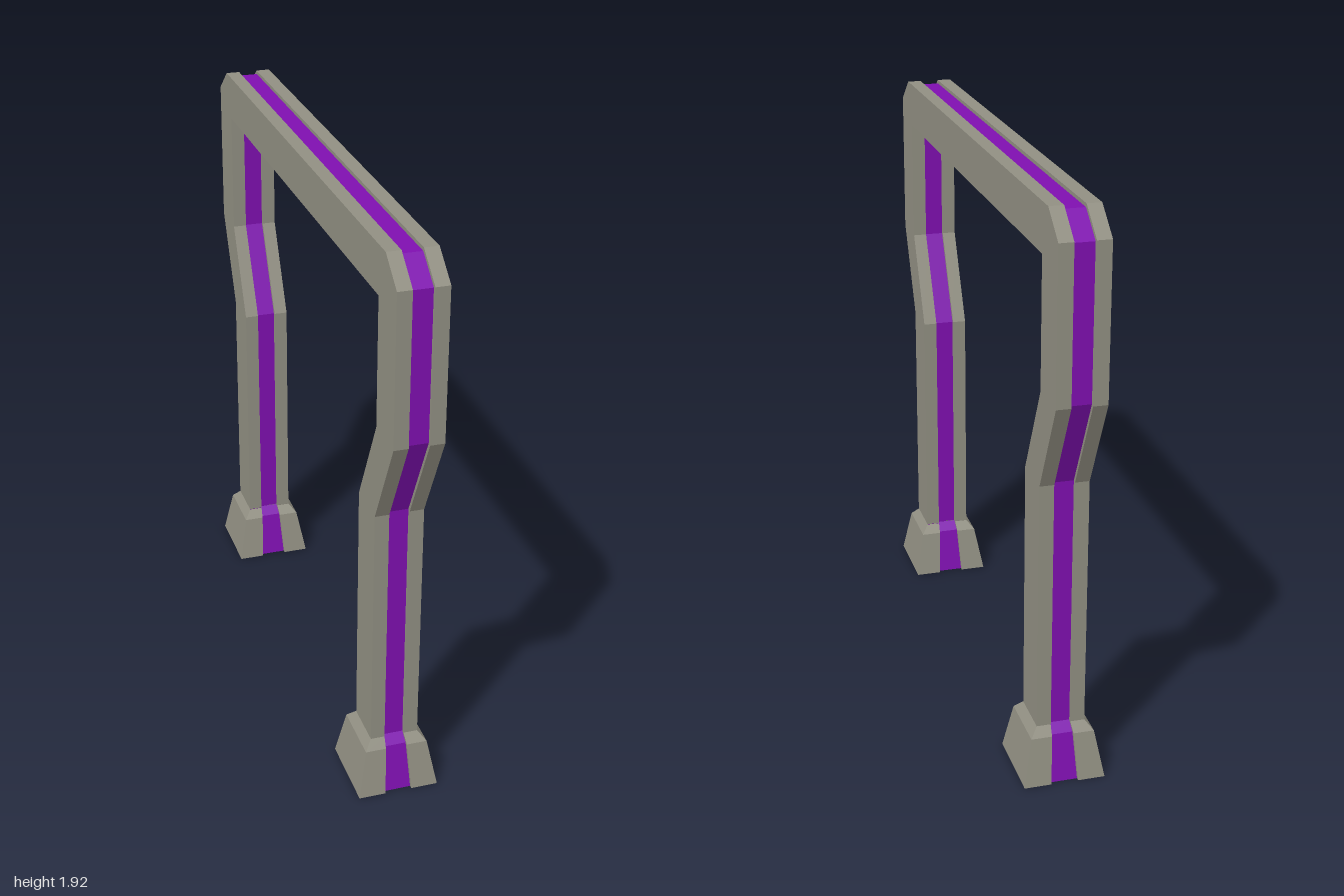
import * as THREE from 'three';

const STRIPE = 0.033, HALF = 0.08, RECESS = 0.012;

// Arch outline as [z, y], one side then mirrored
const outer = [[0.845, 0.19], [0.845, 1.035], [1, 1.345], [1, 1.845], [0.9, 1.925]];
const inner = [[0.845, 1.77], [0.845, 1.345], [0.69, 1.035], [0.69, 0.19]];
const flip = (pts) => pts.map(([z, y]) => [-z, y]).reverse();
const outline = [...outer, ...flip(outer), ...flip(inner), ...inner];

// Mitred inset of a counter-clockwise outline
function inset(pts, d) {
  const n = pts.length;
  return pts.map((p, i) => {
    const normal = (a, b) => {
      const l = Math.hypot(b[0] - a[0], b[1] - a[1]);
      return [-(b[1] - a[1]) / l, (b[0] - a[0]) / l];
    };
    const m = normal(pts[(i + n - 1) % n], p), k = normal(p, pts[(i + 1) % n]);
    const s = d / (1 + m[0] * k[0] + m[1] * k[1]);
    const atGround = p[1] < 0.2;
    return [p[0] + (m[0] + k[0]) * s, atGround ? p[1] : p[1] + (m[1] + k[1]) * s];
  });
}

// Slab of the arch outline between two x positions
function slab(pts, x0, x1) {
  const shape = new THREE.Shape(pts.map(([z, y]) => new THREE.Vector2(z, y)));
  const g = new THREE.ExtrudeGeometry(shape, { depth: x1 - x0, bevelEnabled: false });
  return g.rotateY(-Math.PI / 2).translate(x1, 0, 0);
}

// Flat-shaded open skin through rows of [x, y, z] points
function skin(rows) {
  const pos = [];
  for (let j = 0; j < rows.length - 1; j++) {
    for (let i = 0; i < rows[j].length - 1; i++) {
      const a = rows[j][i], b = rows[j][i + 1], c = rows[j + 1][i + 1], d = rows[j + 1][i];
      pos.push(...a, ...b, ...c, ...a, ...c, ...d);
    }
  }
  const g = new THREE.BufferGeometry();
  g.setAttribute('position', new THREE.Float32BufferAttribute(pos, 3));
  g.computeVertexNormals();
  return g;
}

// Foot levels: y, half width, half depth, half stripe width
const levels = [[0, 0.135, 0.135, 0.045], [0.16, 0.105, 0.105, 0.036], [0.19, HALF, 0.078, STRIPE]];

export function createModel() {
  const stone = new THREE.MeshStandardMaterial({ color: 0x918f82, side: THREE.DoubleSide });
  stone.name = 'warm grey';
  const purple = new THREE.MeshStandardMaterial({ color: 0x7f10b0, side: THREE.DoubleSide });
  purple.name = 'purple';

  const model = new THREE.Group();
  model.name = 'archway';
  const add = (parent, name, geo, mat) => {
    const mesh = new THREE.Mesh(geo, mat);
    mesh.name = name;
    parent.add(mesh);
  };

  // Two grey frames with the recessed purple core between them
  add(model, 'leftFrame', slab(outline, STRIPE, HALF), stone);
  add(model, 'rightFrame', slab(outline, -HALF, -STRIPE), stone);
  add(model, 'stripeCore', slab(inset(outline, RECESS), -STRIPE, STRIPE), purple);

  // Hollow flared feet, each with a stripe on its front and back
  for (const end of [1, -1]) {
    const foot = new THREE.Group();
    foot.name = end > 0 ? 'frontFoot' : 'backFoot';
    foot.position.z = end * 0.766;
    for (const s of [1, -1]) {
      const shell = levels.map(([y, hx, hz, w]) => [
        [s * w, y, s * (hz - RECESS)], [s * w, y, s * hz], [s * hx, y, s * hz],
        [s * hx, y, -s * hz], [s * w, y, -s * hz], [s * w, y, -s * (hz - RECESS)],
      ]);
      add(foot, s > 0 ? 'leftFootShell' : 'rightFootShell', skin(shell), stone);
      const band = levels.map(([y, , hz, w]) => [
        [-s * w, y, s * (hz - RECESS)], [s * w, y, s * (hz - RECESS)],
      ]);
      add(foot, s > 0 ? 'frontFootStripe' : 'backFootStripe', skin(band), purple);
    }
    model.add(foot);
  }
  return model;
}
